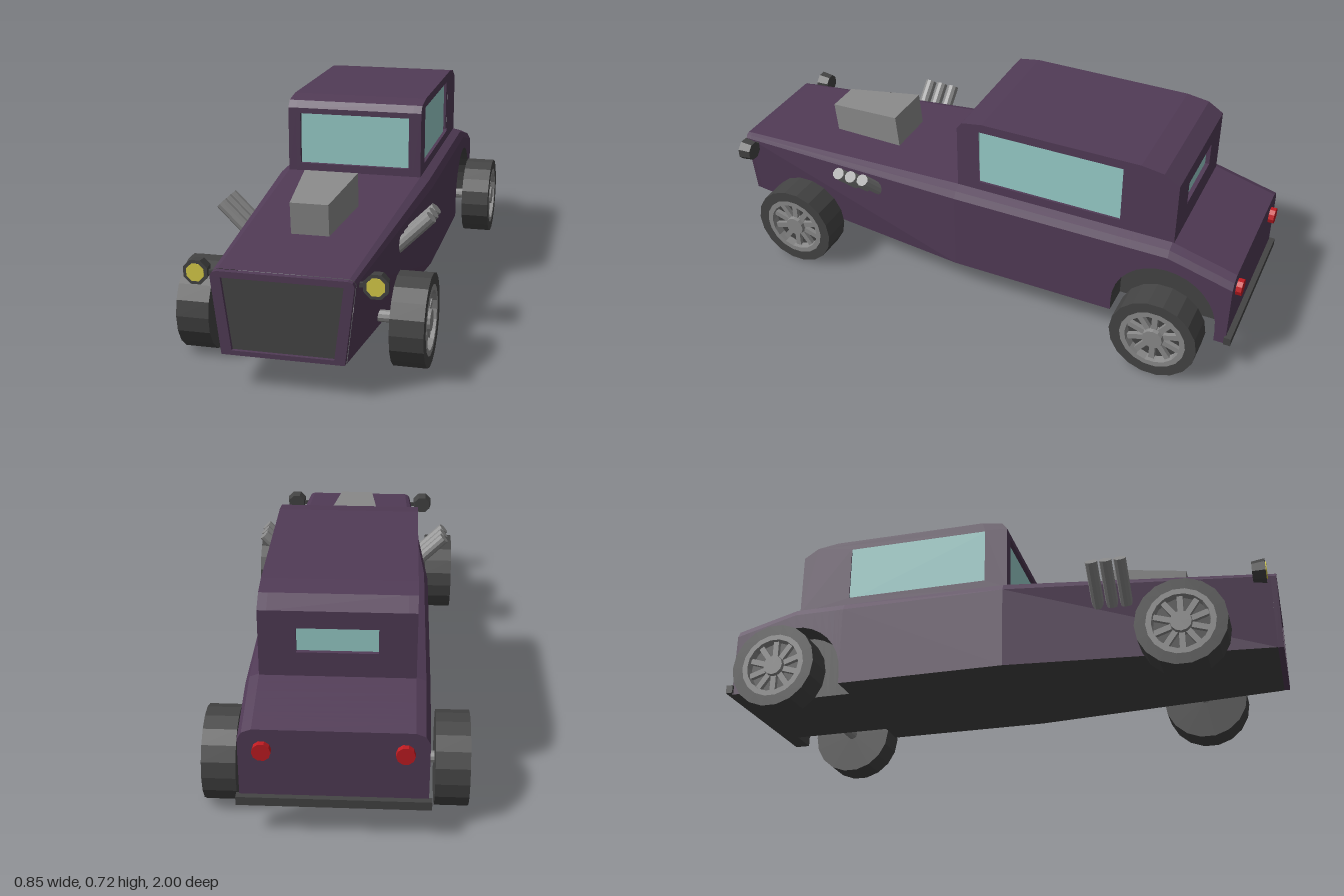
import * as THREE from 'three';

const mat = (color) => new THREE.MeshStandardMaterial({ color, flatShading: true });
const paint = mat(0x513b56), dark = mat(0x444444), metal = mat(0x8a8a8a);
const glass = mat(0x99cfcb), yellow = mat(0xd8cc48), red = mat(0xc01c22);
const lerp = THREE.MathUtils.lerp;

const FLOOR = 0.115, FRONT_Z = 0.98, REAR_Z = -0.98;
const ARCH = { z: -0.75, y: 0.163, r: 0.195 };

function add(parent, name, geometry, material, x = 0, y = 0, z = 0) {
  const m = new THREE.Mesh(geometry, material);
  m.name = name;
  m.position.set(x, y, z);
  parent.add(m);
  return m;
}

// Skin between consecutive open cross-sections, skipping collapsed triangles
function loft(sections) {
  const pos = [], area = new THREE.Triangle();
  const tri = (...p) => {
    area.set(...p);
    if (area.getArea() > 1e-8) p.forEach((v) => pos.push(v.x, v.y, v.z));
  };
  for (let i = 0; i < sections.length - 1; i++) {
    const s = sections[i], t = sections[i + 1];
    for (let j = 0; j < s.length - 1; j++) {
      tri(s[j], s[j + 1], t[j + 1]);
      tri(s[j], t[j + 1], t[j]);
    }
  }
  const g = new THREE.BufferGeometry();
  g.setAttribute('position', new THREE.Float32BufferAttribute(pos, 3));
  g.computeVertexNormals();
  return g;
}

const shapeOf = (pts) => new THREE.Shape(pts.map(([x, y]) => new THREE.Vector2(x, y)));
const rect = (x0, x1, y0, y1) => [[x0, y0], [x1, y0], [x1, y1], [x0, y1]];

function panel(outline, hole, depth) {
  const s = shapeOf(outline);
  if (hole) s.holes.push(shapeOf(hole));
  return new THREE.ExtrudeGeometry(s, { depth, bevelEnabled: false });
}

// Body outline at z: painted points from the left sill over the top to the right sill
function bodyPoints(z, sill) {
  const f = Math.max(0, (z - 0.05) / 0.95);
  const w = lerp(0.295, 0.225, f), wb = lerp(0.295, 0.195, f), k = lerp(1, 0.45, f);
  const top = z < -0.75 ? lerp(0.447, 0.385, (-0.75 - z) / 0.23) : lerp(0.447, 0.385, f);
  const half = [[wb, sill], [w, top - 0.037 * k], [w - 0.014 * k, top - 0.012 * k], [w - 0.045 * k, top]];
  return [...half, ...half.map(([x, y]) => [-x, y]).reverse()];
}

function underPoints(z, sill) {
  const wb = bodyPoints(z, sill)[0][0], inner = Math.min(0.19, wb - 0.03);
  return [[-wb, sill], [-inner, sill], [-inner, FLOOR], [inner, FLOOR], [inner, sill], [wb, sill]];
}

function buildBody(car) {
  // Stations along z with the sill height, which rises over the rear wheels
  const half = Math.sqrt(ARCH.r ** 2 - (ARCH.y - FLOOR) ** 2);
  const stations = [[REAR_Z, FLOOR], [ARCH.z - half, FLOOR]];
  for (let i = 0; i <= 16; i++) {
    const a = Math.PI * (1 - i / 16);
    stations.push([ARCH.z + half * Math.cos(a), ARCH.y + ARCH.r * Math.sin(a)]);
  }
  stations.push([ARCH.z + half, FLOOR], [0.05, FLOOR], [FRONT_Z, FLOOR]);
  // A station at the rear slope break is already in the arch, at its centre
  const at = (fn) => stations.map(([z, s]) => fn(z, s).map(([x, y]) => new THREE.Vector3(x, y, z)));
  add(car, 'bodyShell', loft(at(bodyPoints)), paint);
  add(car, 'underside', loft(at(underPoints)), dark);

  // Rear panel, grille surround and grille
  const back = new THREE.ShapeGeometry(shapeOf(bodyPoints(REAR_Z, FLOOR))).rotateY(Math.PI);
  add(car, 'rearPanel', back, paint, 0, 0, REAR_Z);
  const opening = [[-0.162, 0.13], [0.162, 0.13], [0.192, 0.365], [-0.192, 0.365]];
  add(car, 'grilleSurround', panel(bodyPoints(1, FLOOR), opening, 0.02), paint, 0, 0, FRONT_Z);
  add(car, 'grille', new THREE.ShapeGeometry(shapeOf(opening)), dark, 0, 0, FRONT_Z + 0.008);
  add(car, 'rearBumper', new THREE.BoxGeometry(0.61, 0.03, 0.025), dark, 0, 0.134, -0.9875);
}

function buildCabin(car) {
  const cabin = new THREE.Group();
  cabin.name = 'cabin';
  car.add(cabin);
  const roofLine = [[0.055, 0.685], [0.035, 0.71], [-0.04, 0.722], [-0.62, 0.722], [-0.7, 0.71], [-0.755, 0.675]];
  const roofInside = [[-0.725, 0.66], [-0.62, 0.69], [-0.04, 0.69], [0.025, 0.67]];
  const flip = (pts) => pts.map(([z, y]) => [-z, y]);

  // Side walls with their windows
  const sideWall = panel(flip([[0.055, 0.44], ...roofLine, [-0.755, 0.44]]), flip(rect(-0.56, -0.03, 0.48, 0.69)), 0.03);
  sideWall.rotateY(Math.PI / 2);
  for (const s of [1, -1]) {
    add(cabin, 'sideWall', sideWall, paint, s > 0 ? 0.22 : -0.25);
    add(cabin, 'sideWindow', new THREE.BoxGeometry(0.008, 0.22, 0.54), glass, s * 0.231, 0.585, -0.295);
  }

  // Roof, windscreen wall and rear wall
  const roof = panel(flip([...roofLine, ...roofInside]), null, 0.44).rotateY(Math.PI / 2);
  add(cabin, 'roof', roof, paint, -0.22);
  add(cabin, 'frontWall', panel(rect(-0.22, 0.22, 0.44, 0.685), rect(-0.205, 0.205, 0.475, 0.665), 0.03), paint, 0, 0, 0.025);
  add(cabin, 'windscreen', new THREE.BoxGeometry(0.42, 0.2, 0.008), glass, 0, 0.57, 0.036);
  add(cabin, 'rearWall', panel(rect(-0.22, 0.22, 0.44, 0.675), rect(-0.13, 0.13, 0.53, 0.615), 0.03), paint, 0, 0, -0.755);
  add(cabin, 'rearWindow', new THREE.BoxGeometry(0.28, 0.1, 0.008), glass, 0, 0.572, -0.736);
}

// Wheel with its outer face towards +x
function buildWheel() {
  const wheel = new THREE.Group(), h = 0.055;
  wheel.name = 'wheel';
  const lathe = (pts) =>
    new THREE.LatheGeometry(pts.map(([r, y]) => new THREE.Vector2(r, y)), 18).rotateZ(-Math.PI / 2);
  add(wheel, 'tyre', lathe([[0, -h], [0.155, -h], [0.155, h], [0.117, h], [0.117, h - 0.03], [0, h - 0.03]]), dark);
  add(wheel, 'rim', lathe([[0.117, h - 0.03], [0.117, h], [0.098, h], [0.095, h - 0.03]]), metal);
  add(wheel, 'hub', new THREE.CylinderGeometry(0.036, 0.042, 0.035, 12).rotateZ(-Math.PI / 2), metal, h - 0.018);
  for (let i = 0; i < 10; i++) {
    const spoke = new THREE.BoxGeometry(0.016, 0.07, 0.02).translate(0, 0.068, 0).rotateX((i * Math.PI) / 5);
    add(wheel, 'spoke', spoke, metal, h - 0.022);
  }
  return wheel;
}

function buildRunningGear(car) {
  for (const [z, x] of [[0.685, 0.35], [-0.758, 0.37]]) {
    add(car, 'axle', new THREE.CylinderGeometry(0.02, 0.02, 2 * x - 0.06, 10).rotateZ(Math.PI / 2), metal, 0, 0.155, z);
    for (const s of [1, -1]) {
      const wheel = buildWheel();
      wheel.position.set(s * x, 0.155, z);
      if (s < 0) wheel.rotation.y = Math.PI;
      car.add(wheel);
    }
  }
}

function buildDetails(car) {
  // Engine scoop: a box narrowed and lowered towards the front
  const scoop = new THREE.BoxGeometry(2, 2, 2), p = scoop.attributes.position;
  for (let i = 0; i < p.count; i++) {
    const front = p.getZ(i) > 0, top = p.getY(i) > 0;
    const y = top ? (front ? 0.515 : 0.545) : 0.395;
    p.setXYZ(i, p.getX(i) * (front ? 0.064 : 0.094), y, front ? (top ? 0.682 : 0.67) : (top ? 0.395 : 0.38));
  }
  scoop.computeVertexNormals();
  add(car, 'engineScoop', scoop, metal);

  const disc = (r, d, n) => new THREE.CylinderGeometry(r, r, d, n).rotateY(Math.PI / n).rotateX(Math.PI / 2);
  for (const s of [1, -1]) {
    // Headlight on its bracket
    add(car, 'headlightHousing', new THREE.CylinderGeometry(0.042, 0.036, 0.045, 8).rotateY(Math.PI / 8).rotateX(Math.PI / 2), dark, s * 0.282, 0.363, 0.946);
    add(car, 'headlightLens', disc(0.03, 0.006, 8), yellow, s * 0.282, 0.363, 0.969);
    add(car, 'headlightBracket', new THREE.BoxGeometry(0.06, 0.014, 0.014), dark, s * 0.23, 0.36, 0.946);
    add(car, 'tailLight', disc(0.03, 0.025, 10), red, s * 0.22, 0.315, -0.9875);
    // Three exhaust pipes angled up and out
    for (const z of [0.387, 0.437, 0.487]) {
      const pipe = add(car, 'exhaustPipe', new THREE.CylinderGeometry(0.022, 0.022, 0.17, 10), metal, s * 0.305, 0.377, z);
      pipe.rotation.z = -s * Math.PI / 4;
    }
  }
}

export function createModel() {
  const car = new THREE.Group();
  car.name = 'car';
  buildBody(car);
  buildCabin(car);
  buildRunningGear(car);
  buildDetails(car);
  return car;
}
